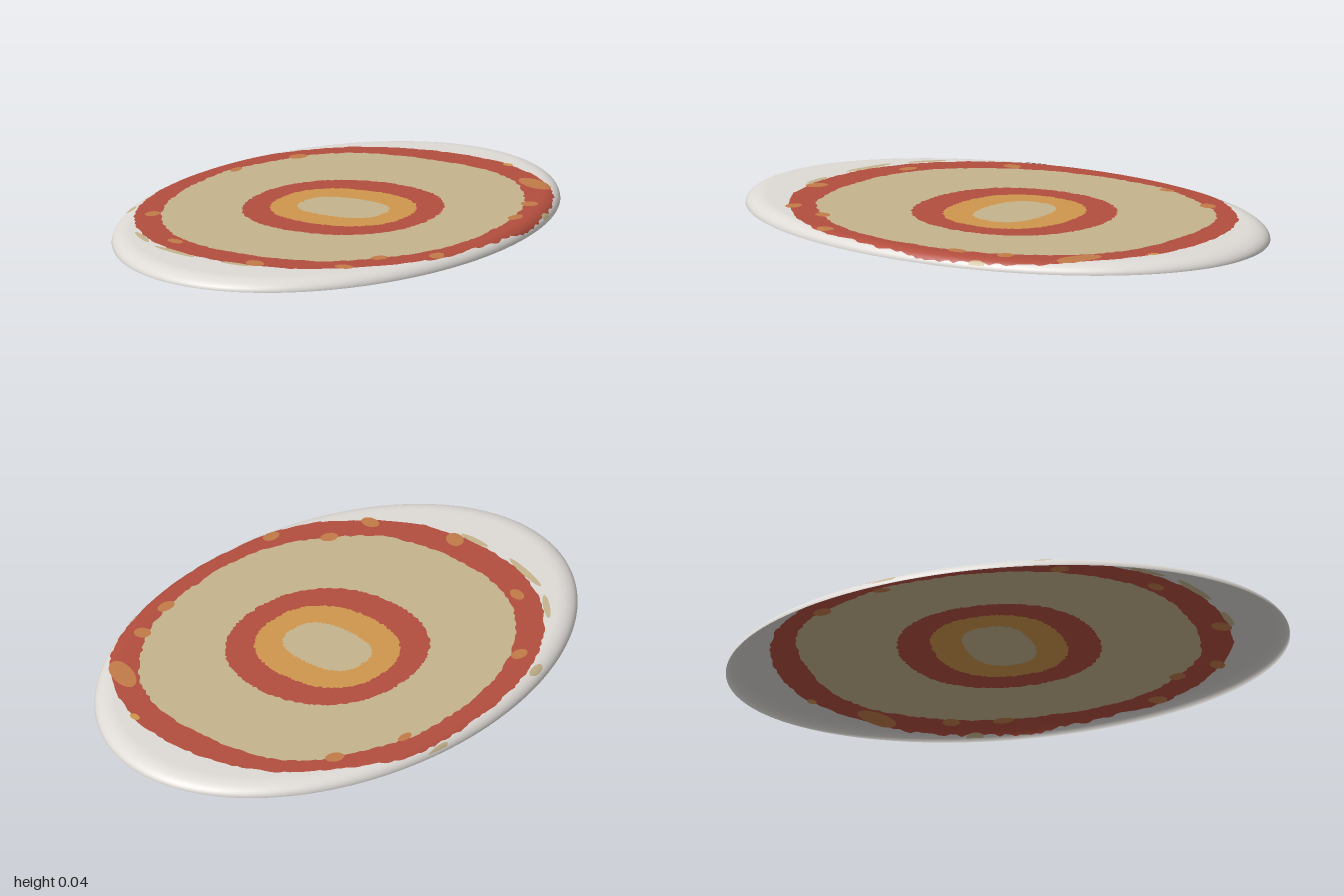
import * as THREE from 'three';

const RX = 0.69, H = 0.039, LIP = 0.08, CZ = -0.03, SEG = 240;

const paint = (name, color) => Object.assign(
  new THREE.MeshStandardMaterial({ color, side: THREE.DoubleSide }), { name });

// Height and normal of the domed shell at a plan position
function surface(x, z) {
  const s = Math.hypot(x / RX, z);
  const t = Math.min(1, Math.max(0, (s - 1 + LIP) / LIP));
  const y = H * Math.sqrt(1 - t * t);
  const k = t / LIP / Math.max(s, 0.01);
  const n = new THREE.Vector3(k * x / (RX * RX), y / (H * H), k * z).normalize();
  return { y, n };
}

// Distance from the pattern centre to the rim along an angle
function rimRadius(a) {
  const c = Math.cos(a) / RX, s = Math.sin(a);
  const A = c * c + s * s, B = CZ * s, C = CZ * CZ - 1;
  return (-B + Math.sqrt(B * B - A * C)) / A;
}

// Turns [x, z] outline points into a radius-by-angle function
function contour(points) {
  const TAU = Math.PI * 2;
  const polar = points.map(([x, z]) => [
    (Math.atan2(z - CZ, x) + TAU) % TAU, Math.hypot(x, z - CZ)]).sort((p, q) => p[0] - q[0]);
  const first = polar[0], last = polar[polar.length - 1];
  polar.unshift([last[0] - TAU, last[1]]);
  polar.push([first[0] + TAU, first[1]]);
  return (a) => {
    let i = 1;
    while (i < polar.length - 1 && polar[i][0] < a) i++;
    const [p, q] = [polar[i - 1], polar[i]];
    return p[1] + (q[1] - p[1]) * (a - p[0]) / (q[0] - p[0]);
  };
}

// Points of a slightly squared oval
function oval(cx, cz, rx, rz, power) {
  const pw = (v) => Math.sign(v) * Math.abs(v) ** (2 / power);
  return Array.from({ length: 48 }, (_, i) => {
    const a = i / 48 * Math.PI * 2;
    return [cx + rx * pw(Math.cos(a)), cz + rz * pw(Math.sin(a))];
  });
}

// Ragged painted edge, kept within the rim
function ragged(points, seed) {
  const r = contour(points);
  let state = seed;
  return Array.from({ length: SEG }, (_, i) => {
    state = (state * 16807) % 2147483647;
    const a = i / SEG * Math.PI * 2;
    return Math.min(r(a) + (state / 2147483647 - 0.5) * 0.009, rimRadius(a) - 0.003);
  });
}

// Grid of (angle, step) samples draped on the shell
function drape(segments, steps, place, lift = 0) {
  const pos = [], nor = [], idx = [];
  for (let j = 0; j <= steps; j++) for (let i = 0; i <= segments; i++) {
    const [x, z] = place(i % segments, j / steps);
    const { y, n } = surface(x, z);
    pos.push(x + n.x * lift, Math.max(0, y + n.y * lift), z + n.z * lift);
    nor.push(n.x, n.y, n.z);
    if (j < steps && i < segments) {
      const a = j * (segments + 1) + i, b = a + segments + 1;
      idx.push(a, a + 1, b, a + 1, b + 1, b);
    }
  }
  const g = new THREE.BufferGeometry();
  g.setAttribute('position', new THREE.Float32BufferAttribute(pos, 3));
  g.setAttribute('normal', new THREE.Float32BufferAttribute(nor, 3));
  g.setIndex(idx);
  return g;
}

export function createModel() {
  const group = new THREE.Group();
  group.name = 'ovalDish';
  const white = paint('offWhite', 0xdedad6);
  const red = paint('brickRed', 0xb34e3e);
  const tan = paint('tan', 0xc5b38c);
  const orange = paint('ochre', 0xcf964d);
  const rust = paint('rust', 0xc27a48);

  const add = (name, geometry, material) => {
    const mesh = new THREE.Mesh(geometry, material);
    mesh.name = name;
    group.add(mesh);
  };

  // Outlines of the painted rings, from the centre outward
  const tanOutline = [[0, -.72], [.2, -.7], [.36, -.62], [.48, -.47], [.54, -.36], [.585, -.2],
    [.597, 0], [.59, .15], [.535, .33], [.43, .48], [.3, .6], [.12, .65], [0, .657], [-.15, .64],
    [-.3, .58], [-.43, .45], [-.52, .3], [-.57, .1], [-.583, -.1], [-.565, -.27], [-.5, -.42],
    [-.42, -.57], [-.3, -.67], [-.15, -.71]];
  const redOutline = [[0, -.83], [.2, -.81], [.38, -.72], [.52, -.6], [.595, -.47], [.645, -.3],
    [.677, -.18], [.673, 0], [.65, .2], [.605, .38], [.53, .51], [.41, .63], [.25, .74], [0, .775],
    [-.2, .745], [-.36, .66], [-.5, .52], [-.6, .33], [-.645, .15], [-.66, -.03], [-.655, -.2],
    [-.61, -.4], [-.5, -.57], [-.36, -.72], [-.2, -.8]];
  const rim = Array.from({ length: SEG }, (_, i) => rimRadius(i / SEG * Math.PI * 2));
  const rings = [
    ['centreSpot', tan, ragged(oval(.01, -.035, .16, .117, 2.6), 11), 1],
    ['ochreRing', orange, ragged(oval(.01, -.035, .25, .23, 2.3), 23), 1],
    ['innerRedRing', red, ragged(oval(.01, -.035, .337, .35, 2.2), 37), 1],
    ['tanField', tan, ragged(tanOutline, 41), 2],
    ['outerRedRing', red, ragged(redOutline, 59), 10],
    ['rim', white, rim, 16],
  ];
  let inner = new Array(SEG).fill(0);
  for (const [name, material, outer, steps] of rings) {
    const from = inner;
    add(name, drape(SEG, steps, (i, t) => {
      const a = i / SEG * Math.PI * 2;
      const u = name === 'rim' ? Math.sin(t * Math.PI / 2) : t; // finer steps at the edge
      const r = from[i] + (outer[i] - from[i]) * u;
      return [Math.cos(a) * r, CZ + Math.sin(a) * r];
    }), material);
    inner = outer;
  }

  // Small smudges on the outer ring: x, z, half length, half width, turn
  const smudges = [
    [rust, .44, -.62, .085, .04, .5], [rust, .55, -.385, .03, .03, 0], [rust, .592, -.21, .022, .038, 0],
    [rust, -.445, -.53, .026, .035, .4], [rust, -.55, -.28, .016, .032, 0], [rust, .095, .745, .04, .03, .6],
    [rust, .385, .635, .034, .026, 0], [rust, .435, .475, .024, .032, .4], [rust, .592, .35, .024, .034, 0],
    [rust, -.285, .63, .034, .022, .4], [rust, -.525, .36, .024, .034, 0], [orange, .24, -.79, .022, .014, .3],
    [tan, -.625, .33, .014, .04, -.2], [tan, -.667, -.25, .01, .06, 0], [tan, -.22, .75, .1, .014, .3],
    [tan, .04, .785, .06, .013, 0], [tan, .645, -.33, .012, .03, -.2], [tan, -.41, .64, .07, .012, .75],
  ];
  smudges.forEach(([material, x, z, l, w, turn]) => {
    for (const lift of [0.0012, -0.0012]) {
      add('smudge', drape(20, 3, (i, t) => {
        const a = i / 20 * Math.PI * 2, u = Math.cos(a) * l * t, v = Math.sin(a) * w * t;
        const px = x + u * Math.cos(turn) - v * Math.sin(turn);
        const pz = z + u * Math.sin(turn) + v * Math.cos(turn);
        const k = Math.min(1, 0.995 / Math.hypot(px / RX, pz));
        return [px * k, pz * k];
      }, lift), material);
    }
  });
  return group;
}
